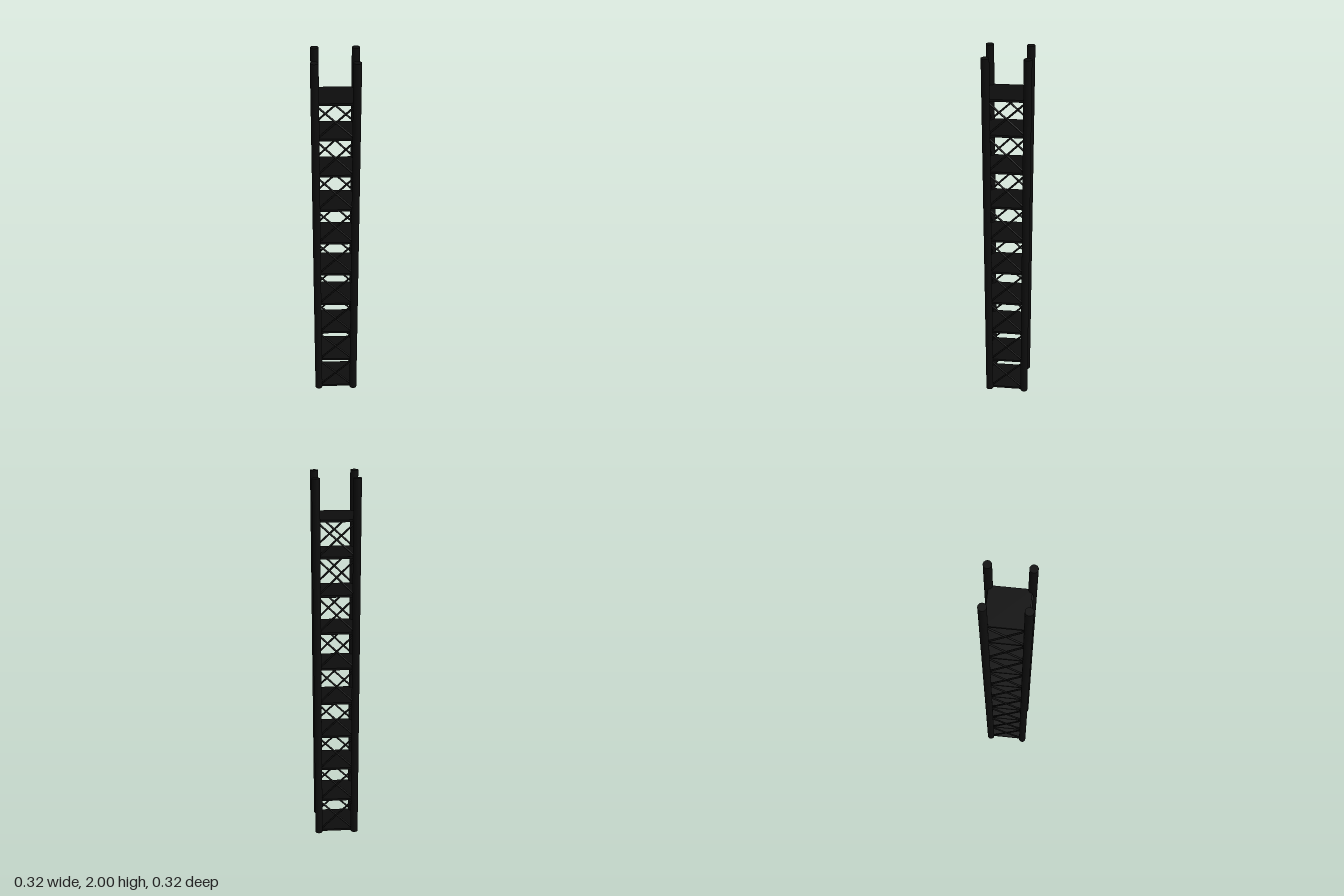
import * as THREE from 'three';

export function createModel() {
  const group = new THREE.Group();
  group.name = 'latticeTower';
  const material = new THREE.MeshStandardMaterial({ color: 0x0d0d0d });
  const reach = 0.141, postRadius = 0.02, rodRadius = 0.005, plateThickness = 0.012;

  const add = (geometry, name) => {
    const mesh = new THREE.Mesh(geometry, material);
    mesh.name = name;
    group.add(mesh);
    return mesh;
  };
  const corner = (i, y) => {
    const a = (i * Math.PI) / 2;
    return new THREE.Vector3(Math.cos(a) * reach, y, Math.sin(a) * reach);
  };
  // Round rod between two points
  const rod = (a, b, name) => {
    const mesh = add(new THREE.CylinderGeometry(rodRadius, rodRadius, a.distanceTo(b), 12), name);
    mesh.position.lerpVectors(a, b, 0.5);
    mesh.quaternion.setFromUnitVectors(new THREE.Vector3(0, 1, 0), b.clone().sub(a).normalize());
  };

  // Four corner posts, standing past the top plate
  for (let i = 0; i < 4; i++) {
    add(new THREE.CylinderGeometry(postRadius, postRadius, 2, 32), 'post').position.copy(corner(i, 1));
  }

  // Square plates turned 45 degrees; the top bay is slightly shorter
  const levels = [];
  for (let k = 0; k < 9; k++) levels.push(0.007 + 0.2 * k);
  levels.push(1.792);
  const side = reach * Math.SQRT2;
  for (const y of levels) {
    const plate = add(new THREE.BoxGeometry(side, plateThickness, side), 'plate');
    plate.position.y = y;
    plate.rotation.y = Math.PI / 4;
  }

  // Crossed braces on the four faces of every bay
  for (let k = 0; k < levels.length - 1; k++) {
    for (let i = 0; i < 4; i++) {
      rod(corner(i, levels[k]), corner(i + 1, levels[k + 1]), 'brace');
      rod(corner(i + 1, levels[k]), corner(i, levels[k + 1]), 'brace');
    }
  }
  return group;
}
